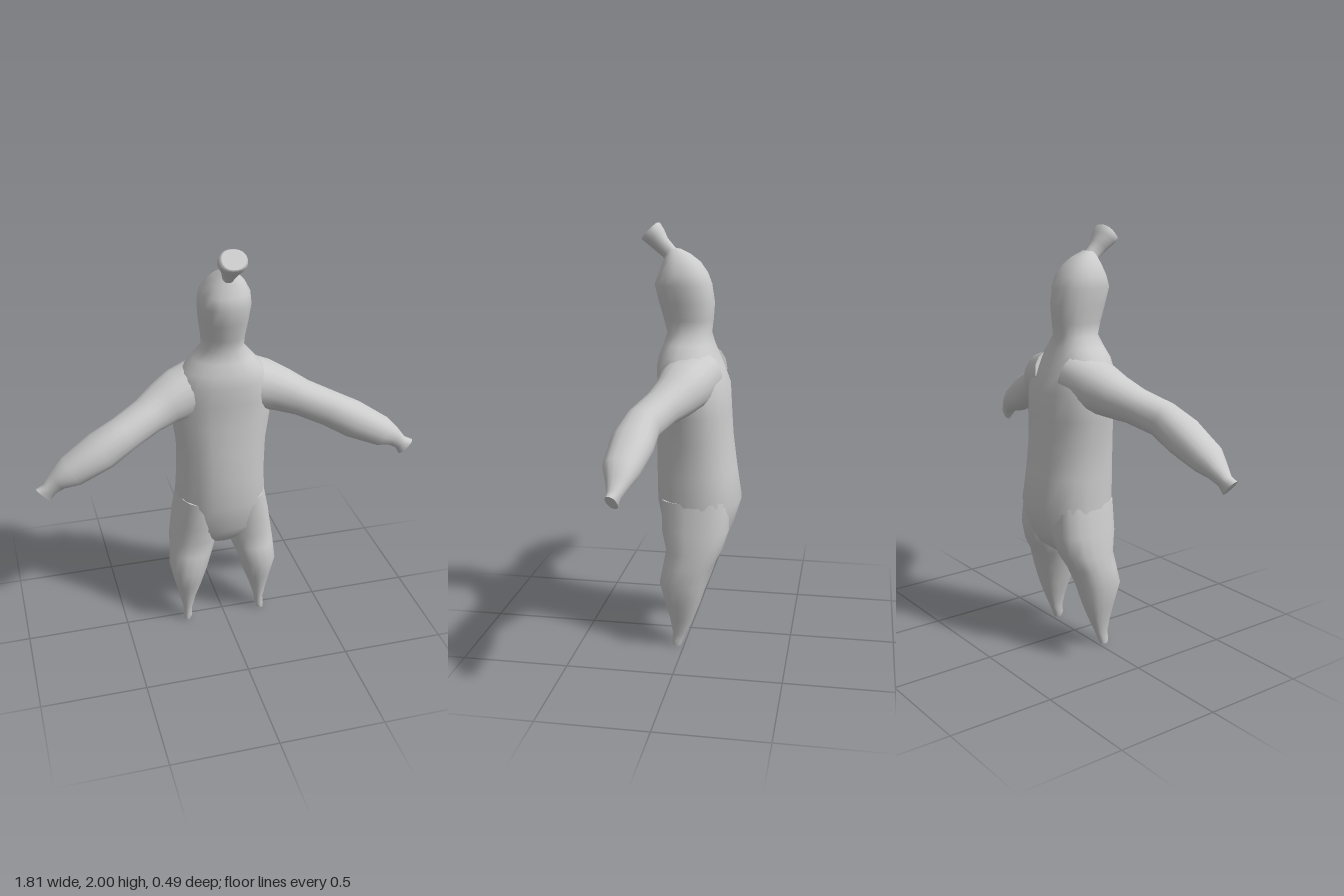
import * as THREE from 'three';

const V = (x, y, z) => new THREE.Vector3(x, y, z);
const SIDES = 18;
const material = new THREE.MeshStandardMaterial({ color: 0xcccccc });

// Skin over rings { c, u, v }: centre and two half-axes, with u x v along the path; capped at both ends
function loft(name, rings, squareness = 0.9) {
  const pos = [], index = [];
  const soften = (t) => Math.sign(t) * Math.abs(t) ** squareness;
  const addRing = ({ c, u, v }) => {
    const start = pos.length / 3;
    for (let i = 0; i < SIDES; i++) {
      const a = (i / SIDES) * Math.PI * 2;
      const p = c.clone().addScaledVector(u, soften(Math.cos(a))).addScaledVector(v, soften(Math.sin(a)));
      pos.push(p.x, p.y, p.z);
    }
    return start;
  };
  const starts = rings.map(addRing);
  for (let r = 0; r < rings.length - 1; r++) {
    for (let i = 0; i < SIDES; i++) {
      const j = (i + 1) % SIDES, a = starts[r], b = starts[r + 1];
      index.push(a + i, a + j, b + j, a + i, b + j, b + i);
    }
  }
  for (const [ring, flip] of [[rings[0], true], [rings[rings.length - 1], false]]) {
    const s = addRing(ring), centre = pos.length / 3;
    pos.push(ring.c.x, ring.c.y, ring.c.z);
    for (let i = 0; i < SIDES; i++) {
      const j = (i + 1) % SIDES;
      index.push(centre, s + (flip ? j : i), s + (flip ? i : j));
    }
  }
  const g = new THREE.BufferGeometry();
  g.setAttribute('position', new THREE.Float32BufferAttribute(pos, 3));
  g.setIndex(index);
  g.computeVertexNormals();
  const mesh = new THREE.Mesh(g, material);
  mesh.name = name;
  return mesh;
}

// Level ring from its height and its extents in x and z
const level = (y, x0, x1, z0, z1) => ({
  c: V((x0 + x1) / 2, y, (z0 + z1) / 2),
  u: V(0, 0, (z1 - z0) / 2),
  v: V((x1 - x0) / 2, 0, 0),
});

// Rings square to a path of [x, y, z, half height, half width]
function alongPath(rows) {
  const pts = rows.map(([x, y, z]) => V(x, y, z));
  return rows.map(([, , , h, w], i) => {
    const t = pts[Math.min(i + 1, pts.length - 1)].clone().sub(pts[Math.max(i - 1, 0)]).normalize();
    const side = V(0, 1, 0).cross(t).normalize();
    const up = t.clone().cross(side);
    return { c: pts[i], u: side.multiplyScalar(w), v: up.multiplyScalar(h) };
  });
}

export function createModel() {
  const model = new THREE.Group();
  model.name = 'figure';

  // Torso, neck and head as one skin: [y, half width, back z, front z]
  const body = [
    [0.44, 0.09, -0.09, 0.03], [0.49, 0.17, -0.16, 0.08], [0.56, 0.215, -0.205, 0.125],
    [0.7, 0.22, -0.248, 0.155], [0.85, 0.213, -0.225, 0.157], [1.0, 0.215, -0.205, 0.155],
    [1.13, 0.235, -0.195, 0.145], [1.25, 0.24, -0.188, 0.15], [1.34, 0.22, -0.155, 0.155],
    [1.4, 0.185, -0.13, 0.145], [1.45, 0.14, -0.112, 0.125], [1.5, 0.097, -0.1, 0.11],
    [1.56, 0.1, -0.108, 0.125], [1.64, 0.112, -0.113, 0.148], [1.72, 0.12, -0.1, 0.168],
    [1.77, 0.115, -0.08, 0.15], [1.82, 0.088, -0.045, 0.13], [1.855, 0.055, 0.0, 0.115],
    [1.88, 0.022, 0.05, 0.105],
  ];
  model.add(loft('body', body.map(([y, w, zb, zf]) => level(y, -w, w, zb, zf))));

  // Flared topknot leaning forward
  model.add(loft('topknot', alongPath([
    [0, 1.835, 0.075, 0.035, 0.035], [0, 1.868, 0.105, 0.036, 0.028], [0, 1.9, 0.138, 0.04, 0.042],
    [0, 1.935, 0.165, 0.05, 0.064], [0, 1.957, 0.185, 0.055, 0.064], [0, 1.962, 0.19, 0.048, 0.052],
  ])));

  // Legs: [y, inner x, outer x, back z, front z]
  const leg = [
    [0, 0.178, 0.21, 0.015, 0.055], [0.025, 0.168, 0.212, 0.005, 0.06], [0.06, 0.168, 0.21, -0.01, 0.056],
    [0.14, 0.145, 0.228, -0.045, 0.07], [0.22, 0.115, 0.248, -0.075, 0.092], [0.32, 0.085, 0.27, -0.105, 0.12],
    [0.41, 0.05, 0.264, -0.135, 0.105], [0.48, 0.025, 0.258, -0.175, 0.095], [0.58, 0.01, 0.243, -0.205, 0.12],
    [0.72, 0.02, 0.215, -0.2, 0.12],
  ];
  // Arms, from inside the chest to the flared hand
  const arm = [
    [0.06, 1.315, -0.035, 0.12, 0.13], [0.2, 1.275, 0.0, 0.115, 0.125], [0.28, 1.248, 0.025, 0.1, 0.105],
    [0.37, 1.215, 0.07, 0.083, 0.088], [0.49, 1.17, 0.128, 0.082, 0.082], [0.6, 1.112, 0.15, 0.086, 0.094],
    [0.74, 1.038, 0.167, 0.07, 0.08], [0.805, 1.0, 0.166, 0.046, 0.053], [0.845, 0.963, 0.172, 0.034, 0.033],
    [0.873, 0.938, 0.177, 0.047, 0.025],
  ];
  for (const [side, s] of [['left', 1], ['right', -1]]) {
    model.add(loft(side + 'Leg', leg.map(([y, xi, xo, zb, zf]) =>
      level(y, Math.min(s * xi, s * xo), Math.max(s * xi, s * xo), zb, zf))));
    model.add(loft(side + 'Arm', alongPath(arm.map(([x, ...rest]) => [s * x, ...rest]))));
  }
  return model;
}
